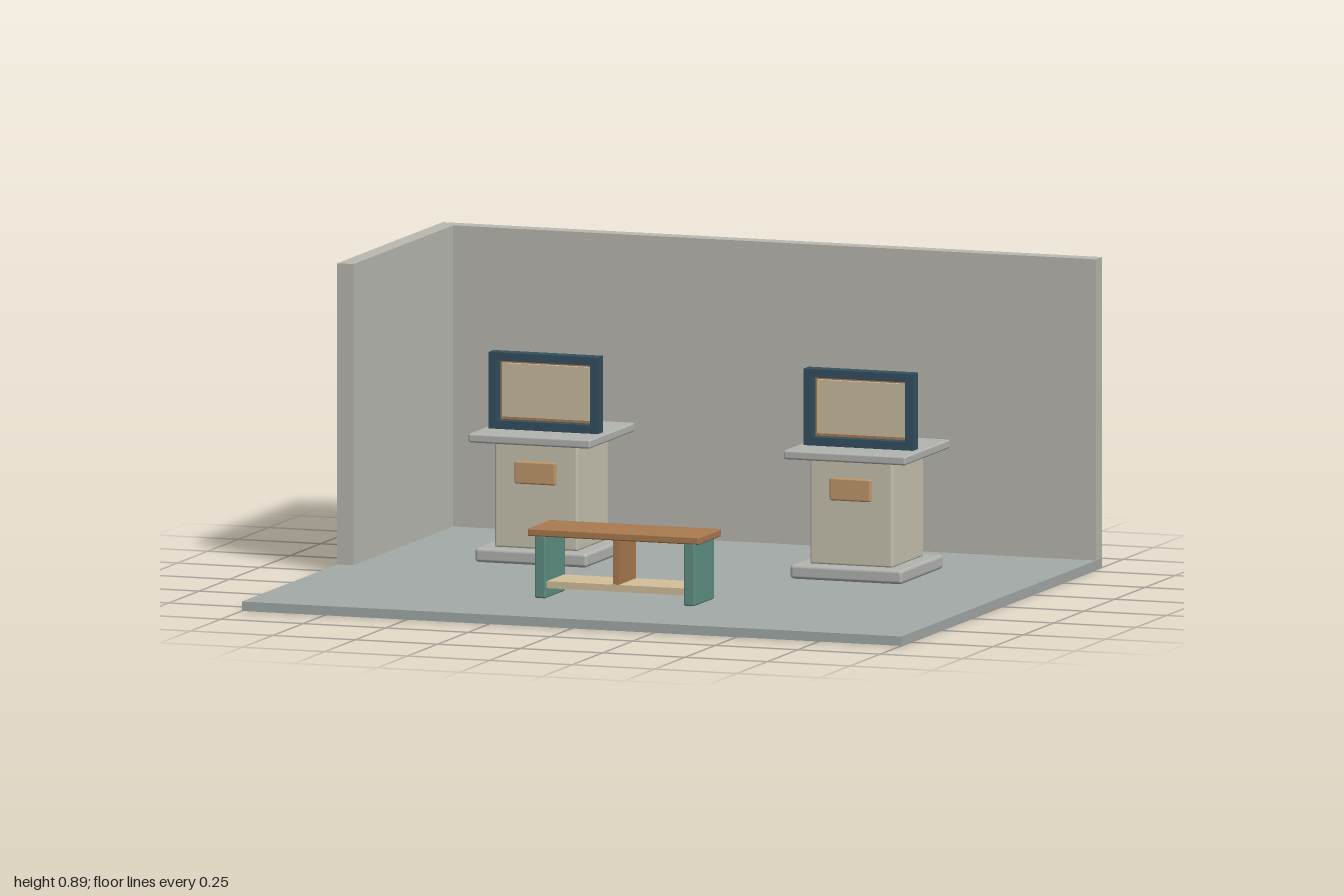
import * as THREE from 'three';
import { RoundedBoxGeometry } from 'three/addons/geometries/RoundedBoxGeometry.js';

const paint = (color) => new THREE.MeshStandardMaterial({ color });
const mats = {
  floor: paint(0xa3aaa7), wall: paint(0xb9b8b1), stone: paint(0xb2b4b0), body: paint(0xc6c2b0),
  navy: paint(0x33505f), wood: paint(0xa97a50), plaque: paint(0xc0976a),
  panel: paint(0xcbbd9f), green: paint(0x5f8f84), tan: paint(0xd3c09a),
};

// Box given by its min/max extents; r > 0 softens the edges
function box(parent, name, mat, [x0, x1], [y0, y1], [z0, z1], r = 0) {
  const size = [x1 - x0, y1 - y0, z1 - z0];
  const geo = r ? new RoundedBoxGeometry(...size, 2, r) : new THREE.BoxGeometry(...size);
  const mesh = new THREE.Mesh(geo, mats[mat]);
  mesh.name = name;
  mesh.position.set((x0 + x1) / 2, (y0 + y1) / 2, (z0 + z1) / 2);
  parent.add(mesh);
  return mesh;
}

const FLOOR = 0.027;

function displayStand(x) {
  const g = new THREE.Group();
  g.name = 'displayStand';
  g.position.set(x, 0, -0.305);

  // Pedestal
  box(g, 'pedestalBase', 'stone', [-0.17, 0.17], [FLOOR, 0.068], [-0.172, 0.172], 0.01);
  box(g, 'pedestalBody', 'body', [-0.126, 0.126], [0.066, 0.376], [-0.128, 0.128], 0.007);
  box(g, 'pedestalTop', 'stone', [-0.185, 0.185], [0.372, 0.398], [-0.185, 0.185], 0.006);
  box(g, 'plaque', 'plaque', [-0.062, 0.062], [0.254, 0.319], [0.12, 0.14], 0.005);

  // Framed panel: hollow frame, backing board and inset panel
  const w = 0.166, h = 0.11, b = 0.024;
  const outline = new THREE.Shape([[-w, -h], [w, -h], [w, h], [-w, h]].map(p => new THREE.Vector2(...p)));
  outline.holes.push(new THREE.Path(
    [[-w + b, -h + b], [-w + b, h - b], [w - b, h - b], [w - b, -h + b]].map(p => new THREE.Vector2(...p))));
  const frame = new THREE.Mesh(
    new THREE.ExtrudeGeometry(outline, { depth: 0.042, bevelEnabled: false }), mats.navy);
  frame.name = 'panelFrame';
  frame.position.set(0, 0.508, 0.026);
  g.add(frame);
  box(g, 'backingBoard', 'wood', [-0.16, 0.16], [0.404, 0.612], [0.02, 0.034]);
  box(g, 'displayPanel', 'panel', [-0.133, 0.133], [0.431, 0.585], [0.03, 0.046]);

  // Rear prop with its mounting block
  box(g, 'propBlock', 'wood', [-0.03, 0.03], [0.531, 0.57], [-0.015, 0.022], 0.004);
  const prop = box(g, 'rearProp', 'navy', [-0.014, 0.014], [0.385, 0.56], [-0.04, -0.018]);
  prop.rotation.x = 0.4;
  prop.position.set(0, 0.472, -0.026);
  return g;
}

function bench() {
  const g = new THREE.Group();
  g.name = 'bench';
  g.position.z = 0.392;
  for (const z of [-0.064, 0, 0.064])
    box(g, 'seatSlat', 'wood', [-0.26, 0.26], [0.206, 0.228], [z - 0.028, z + 0.028], 0.004);
  for (const x of [-0.226, 0.226])
    box(g, 'sideSupport', 'green', [x - 0.017, x + 0.017], [FLOOR, 0.207], [-0.081, 0.081], 0.005);
  box(g, 'lowerShelf', 'tan', [-0.212, 0.212], [0.056, 0.076], [-0.072, 0.072]);
  box(g, 'divider', 'wood', [-0.009, 0.009], [0.075, 0.207], [-0.07, 0.07]);
  return g;
}

export function createModel() {
  const model = new THREE.Group();
  model.name = 'exhibitCorner';
  // Room shell
  box(model, 'floor', 'floor', [-1, 1], [0, FLOOR], [-0.826, 0.826]);
  box(model, 'backWall', 'wall', [-1, 1], [FLOOR, 0.893], [-0.826, -0.776]);
  box(model, 'sideWall', 'wall', [-1, -0.95], [FLOOR, 0.893], [-0.776, 0.042]);
  // Furniture
  for (const x of [-0.478, 0.478]) model.add(displayStand(x));
  model.add(bench());
  return model;
}
